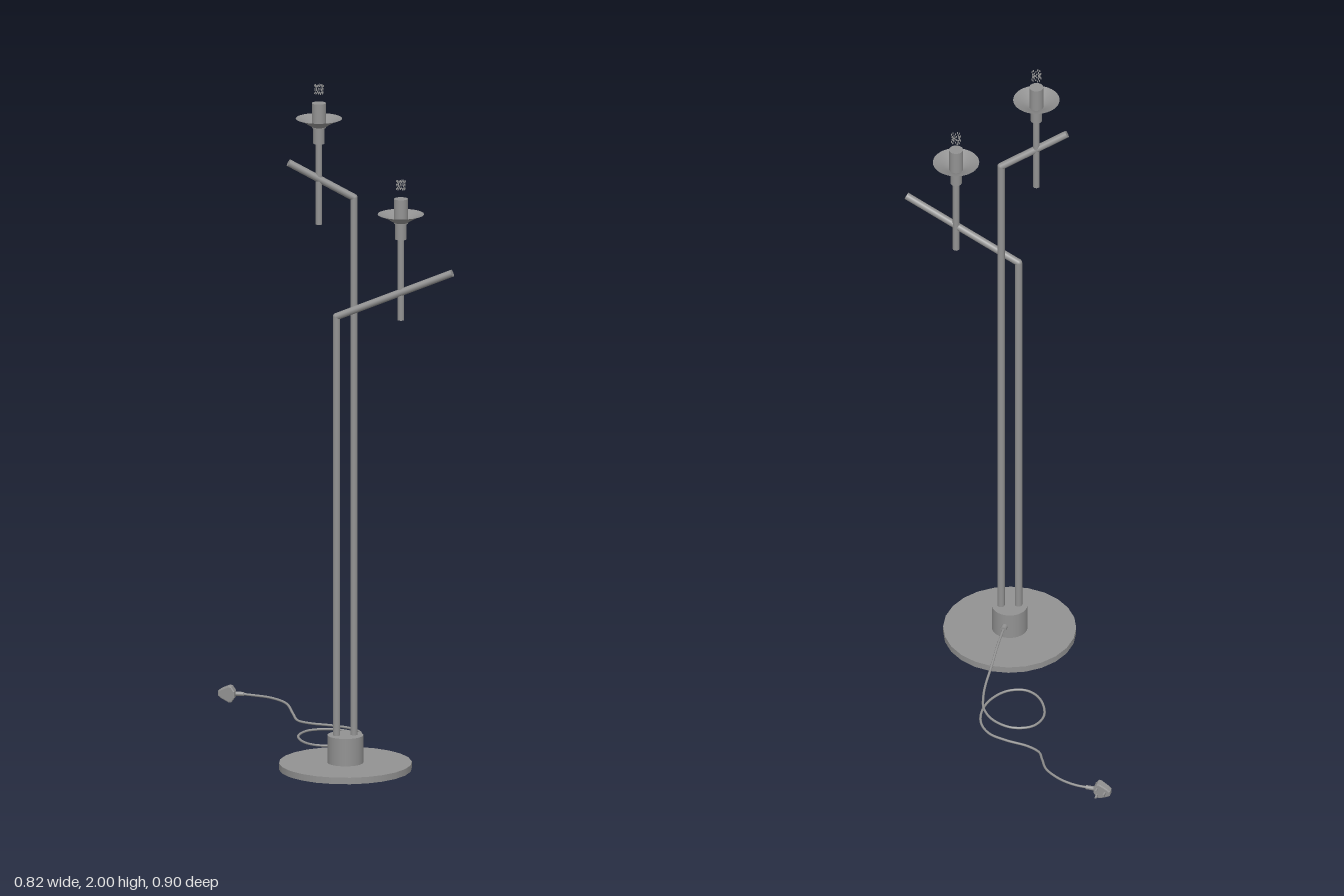
import * as THREE from 'three';

const V = (x, y, z) => new THREE.Vector3(x, y, z);

export function createModel() {
  const model = new THREE.Group();
  const metal = new THREE.MeshStandardMaterial({ color: 0x929292 });
  const metalOpen = new THREE.MeshStandardMaterial({ color: 0x929292, side: THREE.DoubleSide });

  const add = (name, geometry, parent = model, material = metal) => {
    const mesh = new THREE.Mesh(geometry, material);
    mesh.name = name;
    parent.add(mesh);
    return mesh;
  };
  // Round bar between two points
  const rod = (name, a, b, r, parent = model, sides = 16) => {
    const dir = b.clone().sub(a);
    const mesh = add(name, new THREE.CylinderGeometry(r, r, dir.length(), sides), parent);
    mesh.position.copy(a).add(b).multiplyScalar(0.5);
    mesh.quaternion.setFromUnitVectors(V(0, 1, 0), dir.normalize());
  };

  // Weighted base and hub
  const cx = 0.088, cz = 0.259;
  rod('base', V(cx, 0.001, cz), V(cx, 0.02, cz), 0.189, model, 24);
  rod('hub', V(cx, 0.019, cz), V(cx, 0.1, cz), 0.051, model, 32);

  // Upright poles, each bending into a sloping arm
  const stand = (name, foot, elbow, tip) => {
    const group = new THREE.Group();
    group.name = name;
    model.add(group);
    rod('pole', foot, elbow, 0.0105, group);
    rod('arm', elbow, tip, 0.0105, group);
    add('elbow', new THREE.SphereGeometry(0.0105, 16, 12), group).position.copy(elbow);
  };
  stand('tallStand', V(0.111, 0.09, 0.251), V(0.111, 1.668, 0.251), V(-0.066, 1.776, 0.312));
  stand('shortStand', V(0.064, 0.09, 0.267), V(0.064, 1.322, 0.267), V(0.403, 1.47, 0.292));

  // Candle lamp: stem, socket, shallow dish and cluster of light points
  const candle = (name, x, top, z) => {
    const group = new THREE.Group();
    group.name = name;
    group.position.set(x, top, z);
    model.add(group);
    rod('stem', V(0, -0.407, 0), V(0, -0.16, 0), 0.0095, group);
    rod('lowerSocket', V(0, -0.171, 0), V(0, -0.115, 0), 0.0165, group, 24);
    rod('upperSocket', V(0, -0.125, 0), V(0, -0.053, 0), 0.02, group, 24);
    const profile = [[0.016, -0.125], [0.028, -0.117], [0.045, -0.107], [0.066, -0.098]]
      .map(([r, y]) => new THREE.Vector2(r, y));
    add('dish', new THREE.LatheGeometry(profile, 40), group, metalOpen);
    for (let level = 0; level < 3; level++) {
      for (let i = 0; i < 12; i++) {
        const a = (i / 12) * Math.PI * 2 + level * 0.25;
        const r = i % 3 === 0 ? 0.006 : 0.013;
        const point = add('lightPoint', new THREE.BoxGeometry(0.003, 0.005, 0.002), group);
        point.position.set(Math.sin(a) * r, -0.0235 + level * 0.0105, Math.cos(a) * r);
        point.rotation.y = a;
      }
    }
  };
  candle('tallCandle', 0.016, 2.0, 0.283);
  candle('shortCandle', 0.252, 1.73, 0.278);

  // Power cable with one loop on the floor
  const path = [
    [0.088, 0.06, 0.2], [0.086, 0.05, 0.13], [0.083, 0.027, 0.05], [0.081, 0.013, -0.01],
    [0.073, 0.009, -0.06], [0.055, 0.009, -0.115], [0.015, 0.009, -0.158], [-0.045, 0.008, -0.175],
    [-0.098, 0.007, -0.152], [-0.116, 0.005, -0.1], [-0.1, 0.004, -0.045], [-0.068, 0.004, -0.006],
    [-0.03, 0.004, 0.008], [0.016, 0.004, -0.009], [0.049, 0.004, -0.056], [0.06, 0.004, -0.115],
    [0.046, 0.004, -0.175], [0.01, 0.004, -0.215], [-0.045, 0.005, -0.233], [-0.11, 0.006, -0.243],
    [-0.15, 0.008, -0.263], [-0.172, 0.017, -0.305], [-0.203, 0.031, -0.365], [-0.255, 0.036, -0.404],
    [-0.305, 0.037, -0.419], [-0.345, 0.039, -0.422],
  ].map((p) => V(...p));
  add('cable', new THREE.TubeGeometry(new THREE.CatmullRomCurve3(path), 200, 0.0036, 8));
  rod('cableGland', V(cx, 0.06, 0.215), V(cx, 0.06, 0.192), 0.0085);

  // Three-pin plug with a wedge-shaped body
  const plug = new THREE.Group();
  plug.name = 'plug';
  plug.position.set(-0.382, 0.039, -0.421);
  model.add(plug);
  const outline = new THREE.Shape([
    [-0.028, 0.007], [-0.02, 0.013], [0.004, 0.024], [0.012, 0.023], [0.022, 0.009],
    [0.022, -0.009], [0.012, -0.023], [0.004, -0.024], [-0.02, -0.013], [-0.028, -0.007],
  ].map(([x, y]) => new THREE.Vector2(x, y)));
  const body = new THREE.ExtrudeGeometry(outline, {
    depth: 0.02, bevelEnabled: true, bevelThickness: 0.003, bevelSize: 0.003,
    bevelOffset: -0.003, bevelSegments: 2,
  }).translate(0, 0, -0.01);
  const pos = body.attributes.position;
  for (let i = 0; i < pos.count; i++) {
    const slope = pos.getZ(i) > 0 ? 0.24 : 0.08;
    pos.setZ(i, pos.getZ(i) + slope * pos.getX(i));
  }
  body.computeVertexNormals();
  add('plugBody', body, plug);
  rod('strainRelief', V(0.018, 0, -0.001), V(0.046, 0, -0.001), 0.0062, plug);
  for (const [x, y, w, h] of [[-0.013, 0, 0.005, 0.008], [0.01, 0.011, 0.005, 0.004], [0.01, -0.011, 0.005, 0.004]]) {
    add('pin', new THREE.BoxGeometry(w, h, 0.02), plug).position.set(x, y, -0.018);
  }
  return model;
}
